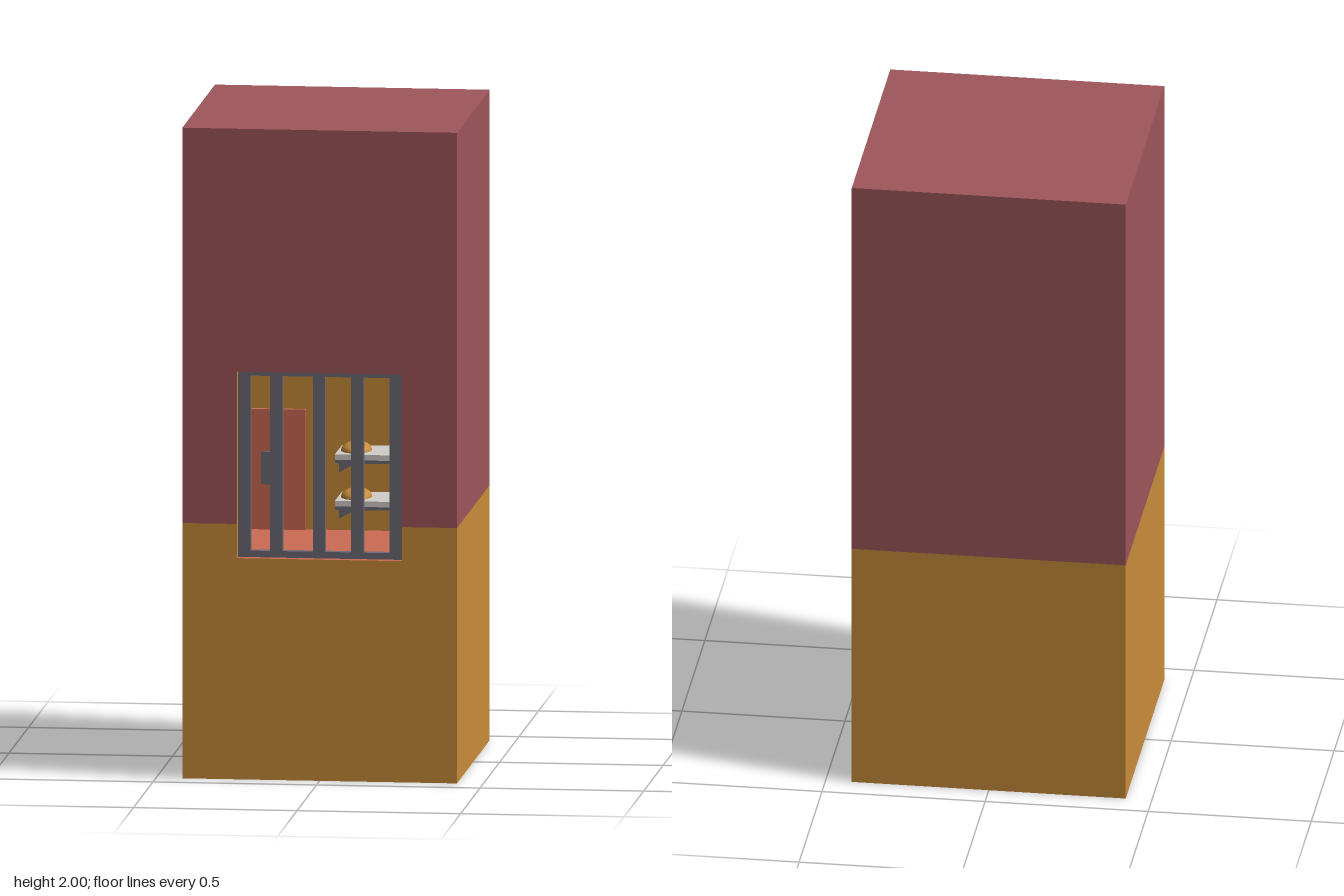
import * as THREE from 'three';

const mat = (name, color, side = THREE.FrontSide) => {
  const m = new THREE.MeshStandardMaterial({ color, side });
  m.name = name;
  return m;
};

export function createModel() {
  const red = mat('brickRed', 0x9e565b);
  const ochre = mat('ochre', 0xc98d3a);
  const salmon = mat('salmon', 0xcb6b52);
  const steel = mat('steelGrey', 0x6e6a76);
  const linen = mat('linen', 0xd2cdc8);

  const model = new THREE.Group();
  model.name = 'cellTower';
  const add = (name, geo, material, x = 0, y = 0, z = 0, parent = model) => {
    const mesh = new THREE.Mesh(geo, material);
    mesh.name = name;
    mesh.position.set(x, y, z);
    parent.add(mesh);
    return mesh;
  };
  const box = (name, m, x0, x1, y0, y1, z0, z1, parent) =>
    add(name, new THREE.BoxGeometry(x1 - x0, y1 - y0, z1 - z0), m,
      (x0 + x1) / 2, (y0 + y1) / 2, (z0 + z1) / 2, parent);
  const plane = (name, m, w, h, pos, rx = 0, ry = 0) => {
    const p = add(name, new THREE.PlaneGeometry(w, h), m, ...pos);
    p.rotation.set(rx, ry, 0);
    return p;
  };
  const polygon = (pts) => new THREE.Shape(pts.map(([x, y]) => new THREE.Vector2(x, y)));
  const Q = Math.PI / 2;

  // Overall sizes: half width, height, colour split, window opening, room
  const W = 0.42, H = 2, split = 0.785;
  const win = { x: 0.252, y0: 0.68, y1: 1.253 };
  const room = { x: 0.37, y0: 0.68, y1: 1.3, z0: -0.157, z1: 0.37 };

  // Outer shell: plain sides, top and underside
  for (const [name, m, y0, y1] of [['lower', ochre, 0, split], ['upper', red, split, H]]) {
    const h = y1 - y0, y = (y0 + y1) / 2;
    plane(name + 'LeftWall', m, 2 * W, h, [W, y, 0], 0, Q);
    plane(name + 'RightWall', m, 2 * W, h, [-W, y, 0], 0, -Q);
    plane(name + 'BackWall', m, 2 * W, h, [0, y, -W], 0, Math.PI);
  }
  plane('roof', red, 2 * W, 2 * W, [0, H, 0], -Q);
  plane('underside', ochre, 2 * W, 2 * W, [0, 0, 0], Q);

  // Front wall, notched around the window
  const a = win.x;
  add('lowerFrontWall', new THREE.ShapeGeometry(polygon([[-W, 0], [W, 0], [W, split], [a, split],
    [a, win.y0], [-a, win.y0], [-a, split], [-W, split]])), ochre, 0, 0, W);
  add('upperFrontWall', new THREE.ShapeGeometry(polygon([[-W, split], [-a, split], [-a, win.y1],
    [a, win.y1], [a, split], [W, split], [W, H], [-W, H]])), red, 0, 0, W);

  // Window reveals
  const t = W - room.z1, zr = (W + room.z1) / 2, hw = win.y1 - win.y0, yw = (win.y0 + win.y1) / 2;
  plane('windowSill', salmon, 2 * a, t, [0, win.y0, zr], -Q);
  plane('windowHead', ochre, 2 * a, t, [0, win.y1, zr], Q);
  plane('leftReveal', ochre, t, hw, [a, yw, zr], 0, -Q);
  plane('rightReveal', ochre, t, hw, [-a, yw, zr], 0, Q);

  // Room inside
  const rh = room.y1 - room.y0, rd = room.z1 - room.z0;
  const ry = (room.y0 + room.y1) / 2, rz = (room.z0 + room.z1) / 2;
  plane('roomFloor', salmon, 2 * room.x, rd, [0, room.y0, rz], -Q);
  plane('roomCeiling', ochre, 2 * room.x, rd, [0, room.y1, rz], Q);
  plane('roomBackWall', ochre, 2 * room.x, rh, [0, ry, room.z0]);
  plane('roomLeftWall', ochre, rd, rh, [room.x, ry, rz], 0, -Q);
  plane('roomRightWall', ochre, rd, rh, [-room.x, ry, rz], 0, Q);
  const inner = polygon([[-room.x, room.y0], [-a, room.y0], [-a, win.y1], [a, win.y1],
    [a, room.y0], [room.x, room.y0], [room.x, room.y1], [-room.x, room.y1]]);
  add('roomFrontWall', new THREE.ShapeGeometry(inner), ochre, 0, 0, room.z1).rotation.y = Math.PI;

  // Window grille
  const grille = new THREE.Group();
  grille.name = 'windowGrille';
  model.add(grille);
  const gz0 = 0.37, gz1 = 0.395;
  for (const x of [-0.234, -0.135, -0.005, 0.112, 0.23])
    box('bar', steel, x - 0.019, x + 0.019, win.y0, win.y1, gz0, gz1, grille);
  box('bottomRail', steel, -a, a, win.y0, 0.7, gz0, gz1, grille);
  box('topRail', steel, -a, a, 1.238, win.y1, gz0, gz1, grille);

  // Door with a small hatch
  box('door', salmon, -0.34, -0.11, room.y0, 1.05, room.z0, room.z0 + 0.015);
  box('doorHatch', steel, -0.245, -0.202, 0.82, 0.92, room.z0 + 0.015, room.z0 + 0.024);

  // Two bunks with bracket, mattress and pillow
  for (const y of [0.772, 0.915]) {
    const bunk = new THREE.Group();
    bunk.name = 'bunk';
    model.add(bunk);
    const z0 = room.z0, z1 = 0.03;
    box('bunkBoard', steel, 0, room.x, y, y + 0.01, z0, z1, bunk);
    box('mattress', linen, 0, room.x, y + 0.01, y + 0.027, z0, z1, bunk);
    const bracket = new THREE.ExtrudeGeometry(polygon([[0, -0.045], [0.08, 0], [0, 0]]),
      { depth: 0.02, bevelEnabled: false });
    add('bracket', bracket, steel, 0, y, z0 + 0.06, bunk);
    const pillow = new THREE.SphereGeometry(1, 20, 8, 0, Math.PI * 2, 0, Q);
    pillow.scale(0.047, 0.028, 0.07);
    add('pillow', pillow, ochre, 0.055, y + 0.027, (z0 + z1) / 2, bunk);
  }

  return model;
}
